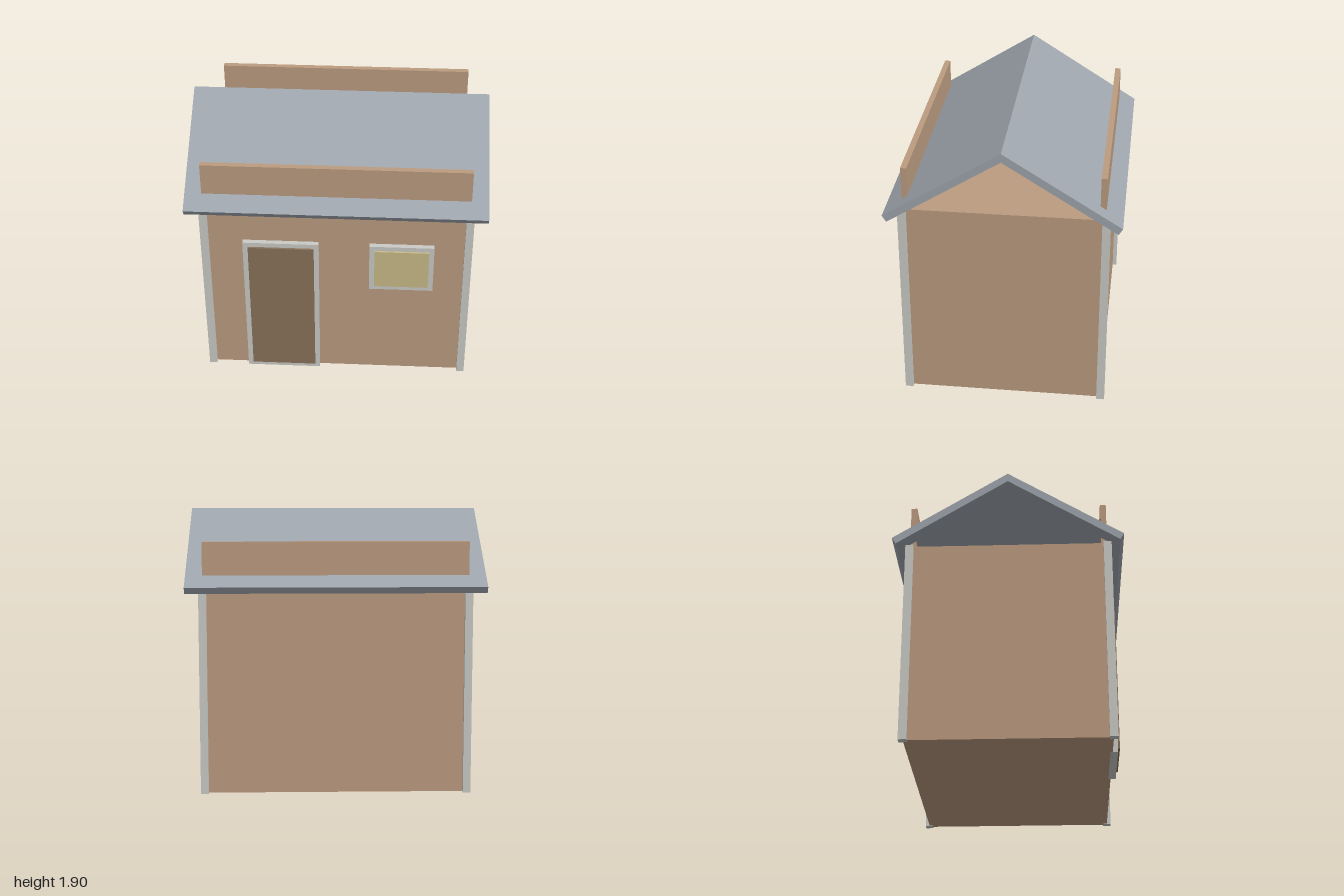
import * as THREE from 'three';

const material = (name, color) => {
  const m = new THREE.MeshStandardMaterial({ color });
  m.name = name;
  return m;
};

export function createModel() {
  const wall = material('tan wall', 0xbc9c80);
  const trim = material('pale trim', 0xcacac6);
  const roofing = material('grey roofing', 0x9ea5ad);
  const wood = material('dark door wood', 0x89725a);
  const glass = material('yellow glass', 0xc9ba89);

  const model = new THREE.Group();
  model.name = 'shed';

  // Box given by its minimum and maximum corners
  const box = (name, mat, [x0, y0, z0], [x1, y1, z1]) => {
    const mesh = new THREE.Mesh(new THREE.BoxGeometry(x1 - x0, y1 - y0, z1 - z0), mat);
    mesh.position.set((x0 + x1) / 2, (y0 + y1) / 2, (z0 + z1) / 2);
    mesh.name = name;
    model.add(mesh);
  };

  // Main body
  box('body', wall, [-0.888, 0.003, -0.664], [0.888, 1.403, 0.664]);

  // Corner posts and the raised parapets front and back
  for (const sz of [1, -1]) {
    const side = sz > 0 ? 'front' : 'back';
    for (const sx of [1, -1]) {
      const x = sx * 0.887, z = sz * 0.666;
      box(side + (sx > 0 ? 'Left' : 'Right') + 'Post', trim,
        [x - 0.026, 0, z - 0.027], [x + 0.026, 1.405, z + 0.027]);
    }
    const z = sz * 0.643;
    box(side + 'Parapet', wall, [-0.888, 1.4, z - 0.02], [0.888, 1.703, z + 0.02]);
  }

  // Door and window, each a panel on a wider surround
  box('doorFrame', trim, [-0.63, 0.003, 0.65], [-0.118, 1.108, 0.699]);
  box('door', wood, [-0.594, 0.04, 0.69], [-0.15, 1.075, 0.713]);
  box('windowFrame', trim, [0.225, 0.743, 0.65], [0.66, 1.108, 0.699]);
  box('windowPane', glass, [0.26, 0.78, 0.69], [0.626, 1.075, 0.713]);

  // Gable roof: chevron section extruded along x
  const section = new THREE.Shape([
    [0, 1.897], [-0.774, 1.41], [-0.747, 1.367],
    [0, 1.837], [0.747, 1.367], [0.774, 1.41],
  ].map(([z, y]) => new THREE.Vector2(z, y)));
  const roofGeometry = new THREE.ExtrudeGeometry(section, { depth: 2, bevelEnabled: false });
  roofGeometry.translate(0, 0, -1).rotateY(Math.PI / 2);
  const roof = new THREE.Mesh(roofGeometry, roofing);
  roof.name = 'roof';
  model.add(roof);

  return model;
}
